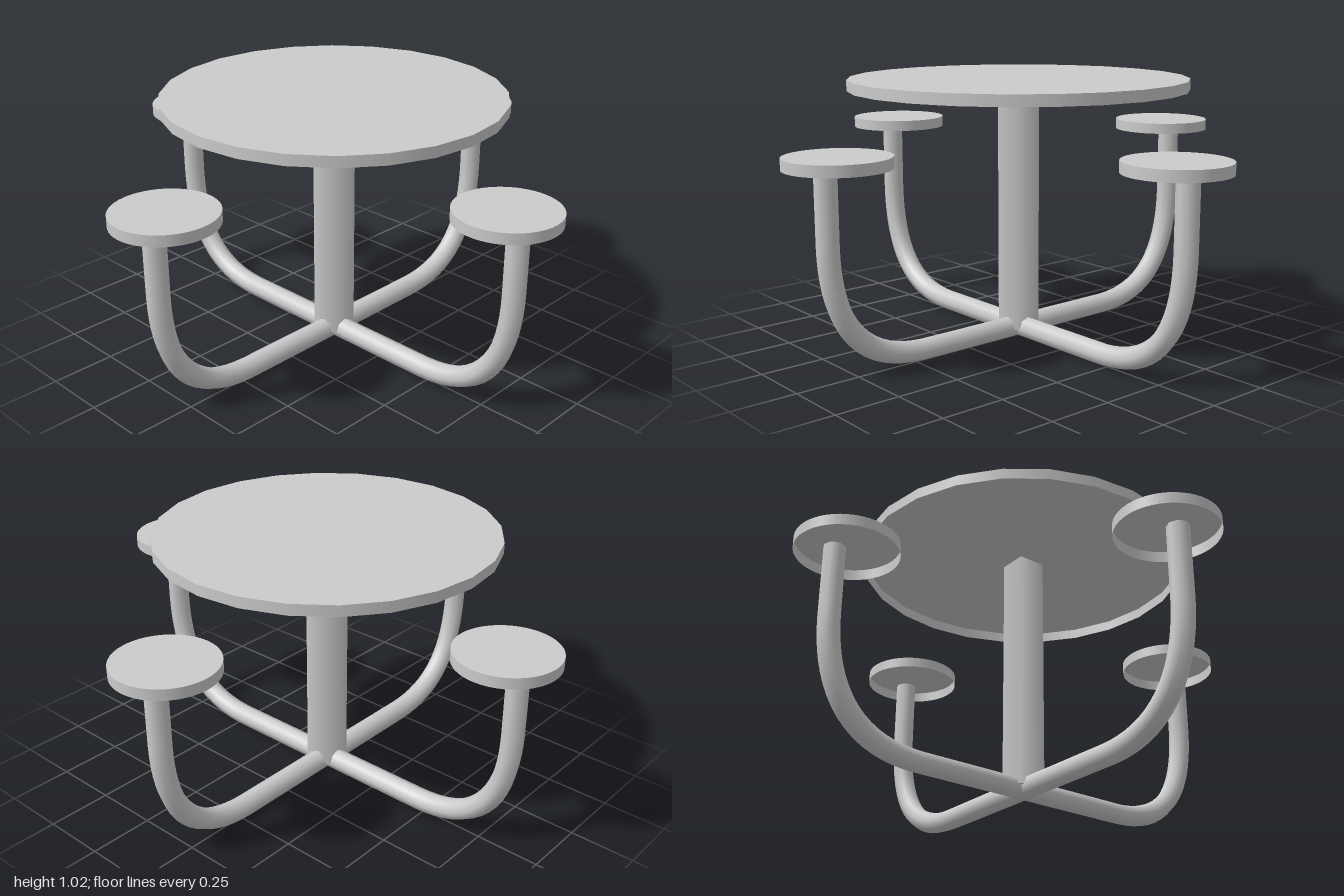
import * as THREE from 'three';
import { mergeGeometries } from 'three/addons/utils/BufferGeometryUtils.js';

const material = new THREE.MeshStandardMaterial({ color: 0xcccccc, side: THREE.DoubleSide });

function part(name, geometry, x = 0, y = 0, z = 0) {
  const mesh = new THREE.Mesh(geometry, material);
  mesh.name = name;
  mesh.position.set(x, y, z);
  return mesh;
}

// Shallow round pan, open underneath: a flat disc at y = 0 with a rim hanging from it
function panGeometry(radius, depth, sides) {
  const disc = new THREE.CircleGeometry(radius, sides).rotateX(-Math.PI / 2);
  const rim = new THREE.CylinderGeometry(radius, radius, depth, sides, 1, true);
  return mergeGeometries([disc, rim.translate(0, -depth / 2, 0)]);
}

// Bent pipe: out along the ground, round the bend, up to the seat
function legPath() {
  const y = 0.042, reach = 0.858, bendStart = 0.46, bendEnd = 0.5, top = 0.765;
  const bend = new THREE.QuadraticBezierCurve3(
    new THREE.Vector3(bendStart, y, 0),
    new THREE.Vector3(reach, y, 0),
    new THREE.Vector3(reach, bendEnd, 0)
  );
  const path = new THREE.CurvePath();
  path.add(new THREE.LineCurve3(new THREE.Vector3(0, y, 0), bend.v0));
  path.add(bend);
  path.add(new THREE.LineCurve3(bend.v2, new THREE.Vector3(reach, top, 0)));
  return path;
}

export function createModel() {
  const group = new THREE.Group();
  group.name = 'picnicTable';

  // Round top on a square, softly shaded post
  group.add(part('tableTop', panGeometry(0.65, 0.042, 24), 0, 1.024, 0));
  const postGeometry = new THREE.CylinderGeometry(0.079, 0.079, 0.963, 4).rotateY(Math.PI / 4);
  group.add(part('post', postGeometry, 0, 0.5225, 0));

  // Four seats, each carried by its own bent leg
  const legGeometry = new THREE.TubeGeometry(legPath(), 36, 0.042, 8, false);
  const seatGeometry = panGeometry(0.192, 0.042, 48);
  for (let i = 0; i < 4; i++) {
    const arm = new THREE.Group();
    arm.name = 'seatArm' + (i + 1);
    arm.rotation.y = (i * Math.PI) / 2;
    arm.add(part('leg', legGeometry));
    arm.add(part('seat', seatGeometry, 0.808, 0.802, 0));
    group.add(arm);
  }
  return group;
}
